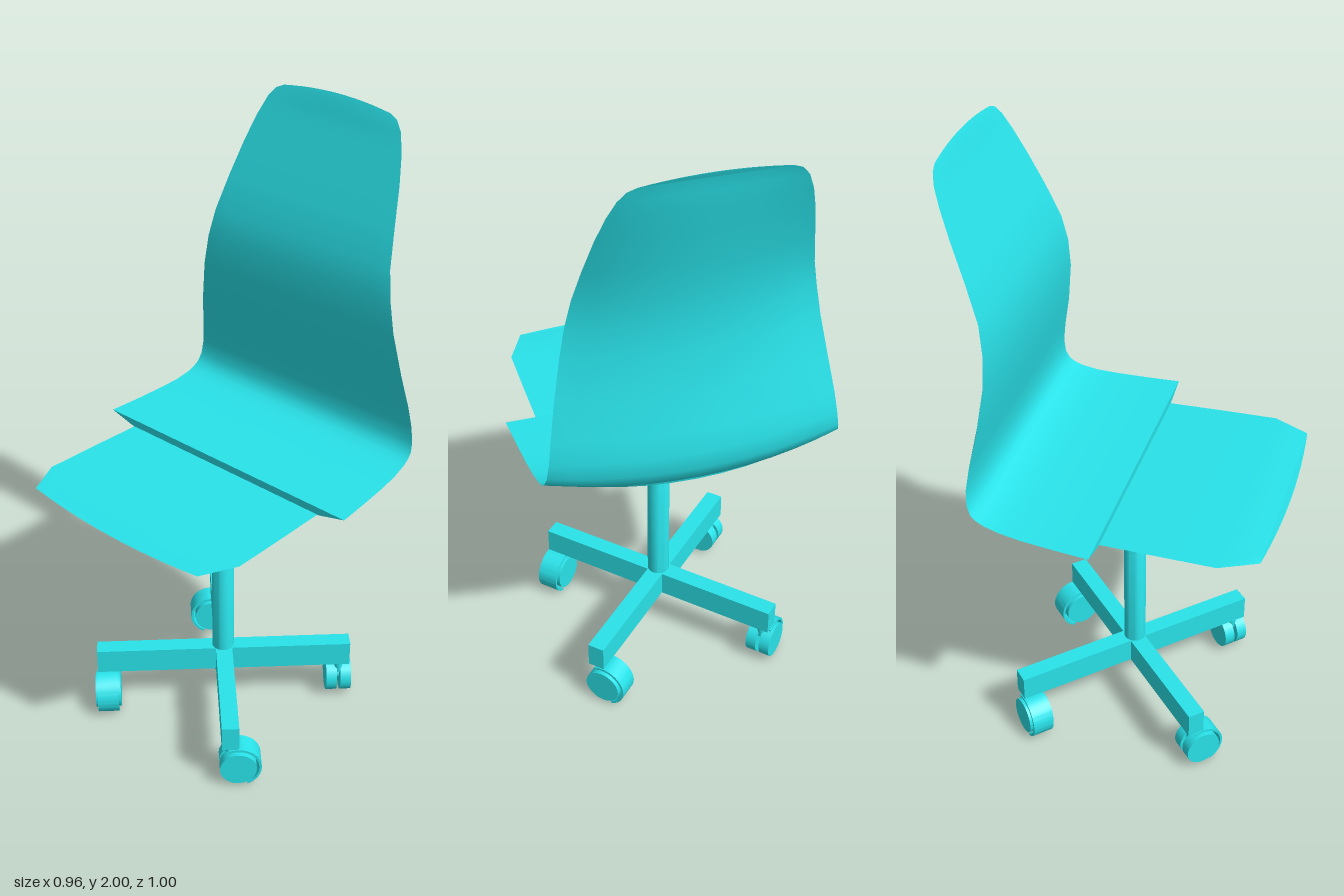
import * as THREE from 'three';
import { toCreasedNormals } from 'three/addons/utils/BufferGeometryUtils.js';

const material = new THREE.MeshStandardMaterial({ color: 0x29e3ea, side: THREE.DoubleSide });

function add(parent, name, geometry, x = 0, y = 0, z = 0) {
  const mesh = new THREE.Mesh(geometry, material);
  mesh.name = name;
  mesh.position.set(x, y, z);
  parent.add(mesh);
  return mesh;
}

// Loft of lens sections: flat upper face, bulging lower face, sharp side edges.
// Row: [z, y, halfWidth, lower z, lower y, crown z, crown y]
function loftLens(rows, steps = 12) {
  const n = steps * 2;
  const positions = [];
  const index = [];
  for (const [z, y, w, zb, yb, cz = 0, cy = 0] of rows) {
    for (let j = 0; j < n; j++) {
      const lower = j > steps;
      const u = lower ? 3 - (2 * j) / steps : (2 * j) / steps - 1;
      const arch = 1 - u * u;
      const bulge = lower ? arch : 0;
      positions.push(u * w, y + (yb - y) * bulge + cy * arch, z + (zb - z) * bulge + cz * arch);
    }
  }
  for (let i = 0; i < rows.length - 1; i++) {
    for (let j = 0; j < n; j++) {
      const a = i * n + j, b = i * n + (j + 1) % n;
      index.push(a, b, a + n, b, b + n, a + n);
    }
  }
  const last = (rows.length - 1) * n;
  for (let j = 1; j < n - 1; j++) {
    index.push(0, j + 1, j, last, last + j, last + j + 1);
  }
  const geometry = new THREE.BufferGeometry();
  geometry.setAttribute('position', new THREE.Float32BufferAttribute(positions, 3));
  geometry.setIndex(index);
  return toCreasedNormals(geometry, 0.6);
}

// Curved guard around the outer side of a caster
function hoodGeometry(width) {
  const shape = new THREE.Shape();
  const from = THREE.MathUtils.degToRad(-66), to = THREE.MathUtils.degToRad(115);
  shape.absarc(0, 0, 0.075, from, to, false);
  shape.absarc(0, 0, 0.067, to, from, true);
  shape.closePath();
  const geometry = new THREE.ExtrudeGeometry(shape, { depth: width, bevelEnabled: false, curveSegments: 14 });
  geometry.translate(0, 0, -width / 2);
  return toCreasedNormals(geometry, 0.6);
}

export function createModel() {
  const chair = new THREE.Group();
  chair.name = 'swivelChair';

  // Rear half of the seat, sweeping up into the backrest
  add(chair, 'seatAndBackrest', loftLens([
    [0.01, 0.955, 0.482, 0.01, 0.885],
    [-0.1, 0.956, 0.473, -0.1, 0.885],
    [-0.2, 0.959, 0.465, -0.2, 0.89],
    [-0.27, 0.965, 0.458, -0.3, 0.905],
    [-0.32, 0.976, 0.453, -0.384, 0.934],
    [-0.345, 0.987, 0.45, -0.386, 0.948],
    [-0.363, 1.002, 0.447, -0.42, 0.972],
    [-0.375, 1.03, 0.441, -0.44, 1.02],
    [-0.377, 1.08, 0.433, -0.443, 1.08],
    [-0.367, 1.15, 0.423, -0.43, 1.15],
    [-0.345, 1.26, 0.404, -0.41, 1.26],
    [-0.326, 1.4, 0.378, -0.391, 1.4],
    [-0.326, 1.5, 0.36, -0.391, 1.5],
    [-0.34, 1.59, 0.342, -0.4, 1.59],
    [-0.38, 1.7, 0.32, -0.422, 1.7],
    [-0.425, 1.81, 0.296, -0.452, 1.81],
    [-0.458, 1.89, 0.273, -0.473, 1.89],
    [-0.48, 1.945, 0.25, -0.487, 1.945],
    [-0.49, 1.973, 0.227, -0.494, 1.973, 0, 0.01],
    [-0.495, 1.985, 0.2, -0.498, 1.985, -0.003, 0.015],
  ]));

  // Thin front half of the seat
  add(chair, 'seatFront', loftLens([
    [0.48, 0.938, 0.335, 0.48, 0.932, 0.02],
    [0.365, 0.937, 0.39, 0.365, 0.922],
    [0.18, 0.934, 0.387, 0.18, 0.91],
    [-0.02, 0.93, 0.382, -0.02, 0.9],
  ]));

  // Telescopic post
  const post = [[0, 0.14], [0.036, 0.14], [0.036, 0.6], [0.034, 0.605], [0.034, 0.7], [0.031, 0.705], [0.031, 0.91], [0, 0.91]];
  add(chair, 'post', toCreasedNormals(
    new THREE.LatheGeometry(post.map(([r, y]) => new THREE.Vector2(r, y)), 24), 0.6), 0, 0, 0.003);

  // Four diagonal legs, each with a twin-wheel caster
  const wheel = new THREE.CylinderGeometry(0.059, 0.059, 0.036, 24).rotateX(Math.PI / 2);
  const axle = new THREE.CylinderGeometry(0.02, 0.02, 0.06, 12).rotateX(Math.PI / 2);
  const hood = hoodGeometry(0.07);
  for (let i = 0; i < 4; i++) {
    const leg = new THREE.Group();
    leg.name = 'leg' + (i + 1);
    leg.rotation.y = Math.PI / 4 + (i * Math.PI) / 2;
    add(leg, 'legBar', new THREE.BoxGeometry(0.055, 0.086, 0.425), 0, 0.188, 0.2125);
    const caster = new THREE.Group();
    caster.name = 'caster';
    caster.position.set(0.025, 0.069, 0.392);
    for (const side of [-1, 1]) add(caster, 'wheel', wheel, 0, 0, side * 0.024);
    add(caster, 'axle', axle);
    add(caster, 'hood', hood);
    add(caster, 'stem', new THREE.CylinderGeometry(0.014, 0.014, 0.06, 12), -0.025, 0.06, 0);
    leg.add(caster);
    chair.add(leg);
  }
  return chair;
}
